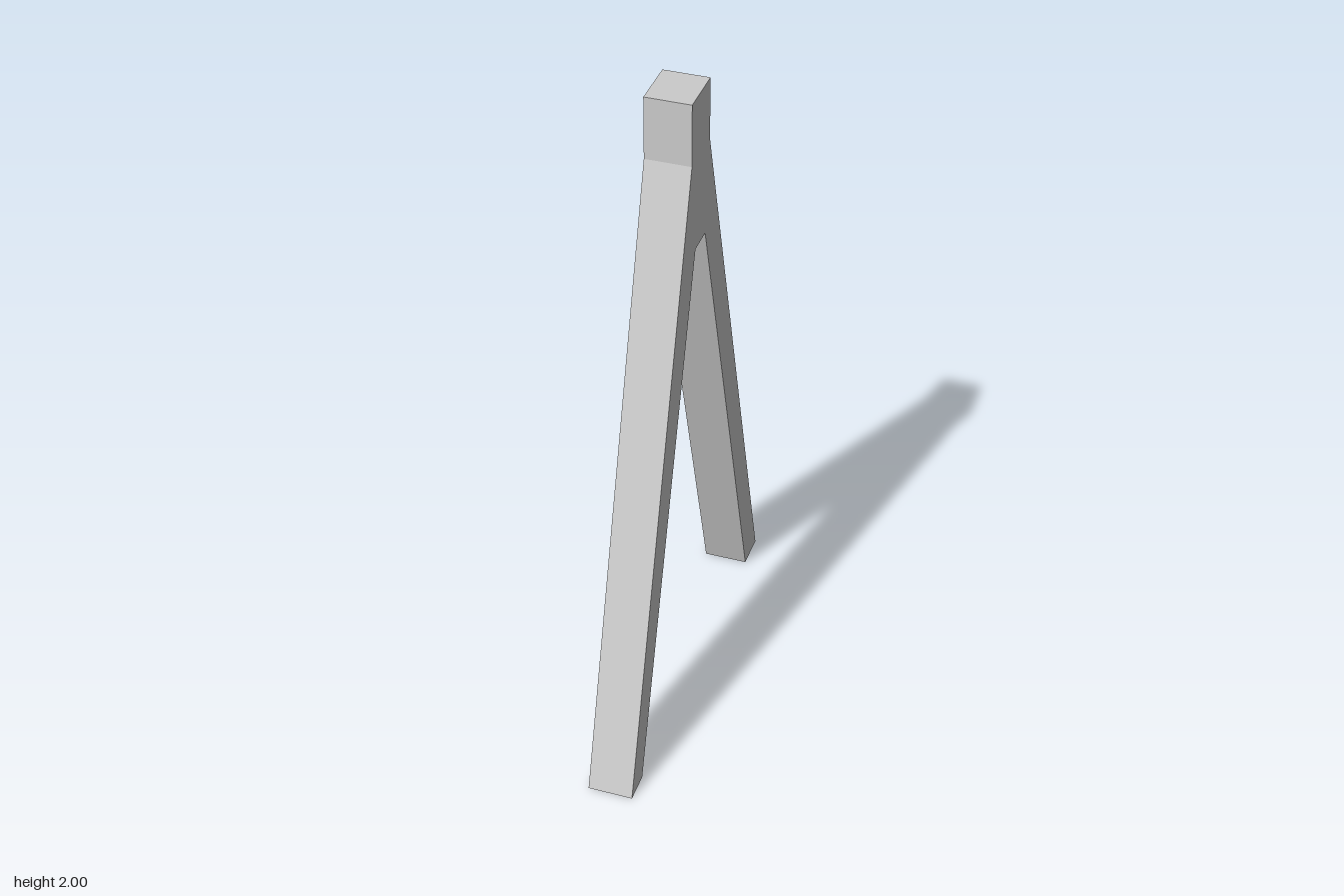
import * as THREE from 'three';

export function createModel() {
  const group = new THREE.Group();
  const width = 0.133;

  // Side profile as (z, y): square head, two splayed legs, flat crotch
  const profile = [
    [0.608, 0], [0.075, 1.815], [0.075, 2], [-0.078, 2], [-0.078, 1.815],
    [-0.608, 0], [-0.497, 0], [-0.042, 1.54], [0.042, 1.54], [0.518, 0],
  ].map(([z, y]) => new THREE.Vector2(z, y));

  // Extrude across the width, then turn the profile to run along z
  const geometry = new THREE.ExtrudeGeometry(new THREE.Shape(profile), {
    depth: width, bevelEnabled: false,
  });
  geometry.translate(0, 0, -width / 2);
  geometry.rotateY(-Math.PI / 2);

  const frame = new THREE.Mesh(
    geometry,
    new THREE.MeshStandardMaterial({ color: 0xcccccc, flatShading: true }),
  );
  frame.name = 'splayedLegFrame';
  group.add(frame);
  return group;
}
